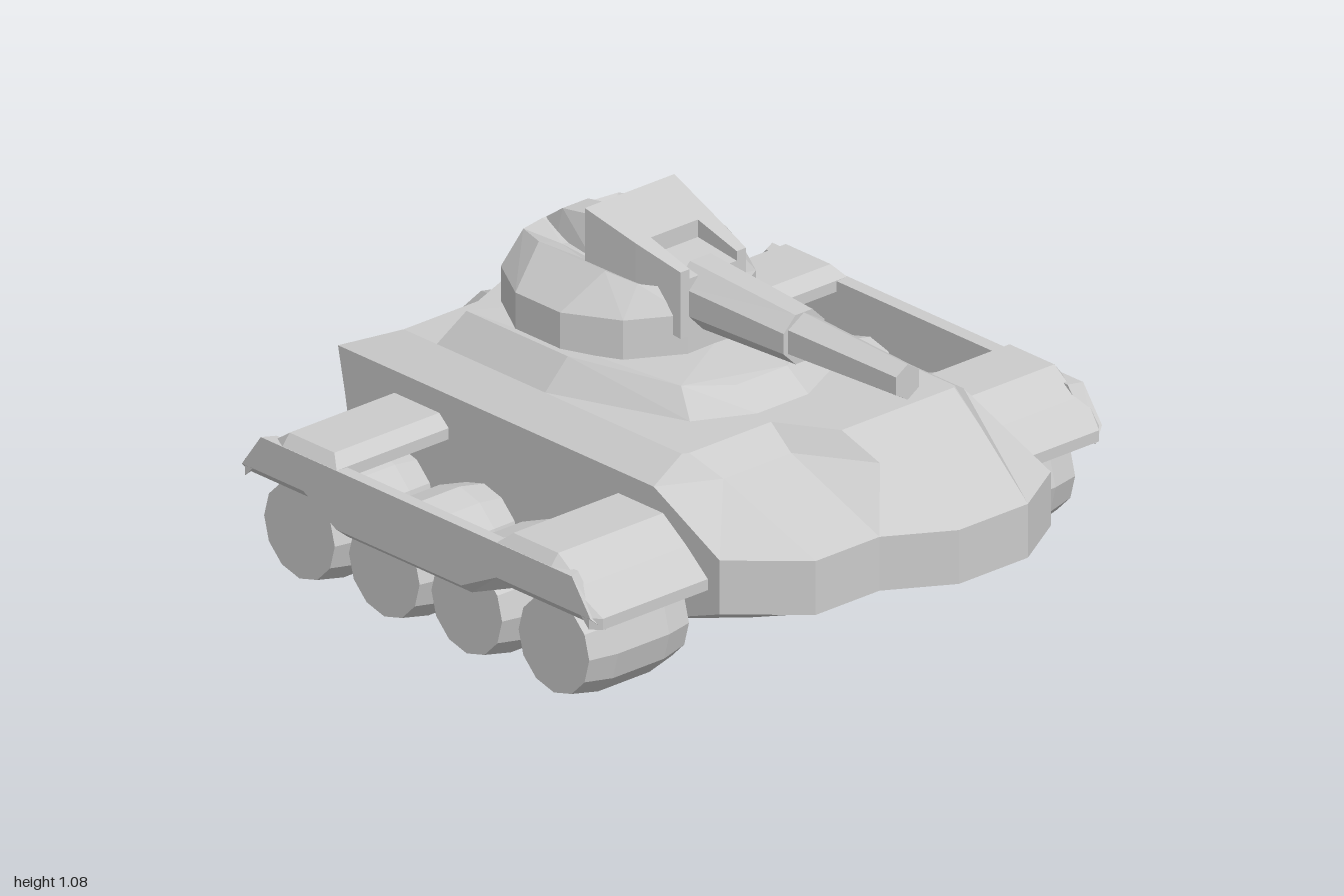
import * as THREE from 'three';

const material = new THREE.MeshStandardMaterial({ color: 0xcccccc, flatShading: true });

// Projects a ring onto the plane it mostly lies in
function flatten(ring) {
  const n = new THREE.Vector3();
  ring.forEach((p, i) => {
    const q = ring[(i + 1) % ring.length];
    n.x += (p[1] - q[1]) * (p[2] + q[2]);
    n.y += (p[2] - q[2]) * (p[0] + q[0]);
    n.z += (p[0] - q[0]) * (p[1] + q[1]);
  });
  const a = n.toArray().map(Math.abs);
  const drop = a.indexOf(Math.max(...a));
  const [u, v] = [0, 1, 2].filter((k) => k !== drop);
  return ring.map((p) => new THREE.Vector2(p[u], p[v]));
}

// Closed faceted solid through matching rings of [x, y, z] points
function loft(rings) {
  const n = rings[0].length;
  const tris = [];
  const cap = (ring, flip) => {
    for (const t of THREE.ShapeUtils.triangulateShape(flatten(ring), [])) {
      const s = [...t].sort((a, b) => a - b).map((i) => ring[i]);
      tris.push(flip ? s.reverse() : s);
    }
  };
  cap(rings[0], true);
  for (let i = 0; i + 1 < rings.length; i++) {
    const a = rings[i], b = rings[i + 1];
    for (let j = 0; j < n; j++) {
      const k = (j + 1) % n;
      tris.push([a[j], a[k], b[k]], [a[j], b[k], b[j]]);
    }
  }
  cap(rings[n ? rings.length - 1 : 0], false);
  // Turn the solid outward if its signed volume is negative
  let volume = 0;
  for (const [p, q, r] of tris) {
    volume += new THREE.Vector3(...p).dot(new THREE.Vector3(...q).cross(new THREE.Vector3(...r)));
  }
  if (volume < 0) tris.forEach((t) => t.reverse());
  const geo = new THREE.BufferGeometry();
  geo.setAttribute('position', new THREE.Float32BufferAttribute(tris.flat(2), 3));
  geo.computeVertexNormals();
  return geo;
}

// Half ring on +x completed by its mirror image
const symmetric = (half) => [...half, ...half.map(([x, y, z]) => [-x, y, z]).reverse()];
// Side profile of [z, y] points placed at one x
const atX = (x, profile) => profile.map(([z, y]) => [x, y, z]);
// Regular ring around the gun axis
const ringZ = (n, z, y, rx, ry, turn = 0) => Array.from({ length: n }, (_, i) => {
  const a = ((i + turn) / n) * Math.PI * 2;
  return [Math.sin(a) * rx, y + Math.cos(a) * ry, z];
});

export function createModel() {
  const model = new THREE.Group();
  const add = (name, geo, parent = model) => {
    const mesh = new THREE.Mesh(geo, material);
    mesh.name = name;
    parent.add(mesh);
    return mesh;
  };

  // Hull: stacked outlines with an offset nose and a notched tail
  const tail = (y1, z1, y2, z2, x1, x2) => [
    [x1, y1, z1], [x2, y2, z2], [0.1, y2, z2], [0, y1, z1],
    [-0.1, y2, z2], [-x2, y2, z2], [-x1, y1, z1]];
  const nose = (y) => [[-0.56, y, 0.67], [-0.36, y, 0.86], [-0.11, y, 0.86],
    [0.09, y, 0.98], [0.36, y, 0.98], [0.56, y, 0.86]];
  add('hull', loft([
    [...nose(0.24), ...tail(0.24, -0.89, 0.28, -0.96, 0.56, 0.46)],
    [...nose(0.41), ...tail(0.41, -0.92, 0.45, -0.985, 0.56, 0.46)],
    [[-0.56, 0.55, 0.39], [-0.375, 0.55, 0.485], [-0.11, 0.55, 0.485],
      [0.03, 0.55, 0.71], [0.42, 0.55, 0.71], [0.56, 0.55, 0.49],
      ...tail(0.55, -0.95, 0.47, -0.99, 0.56, 0.46)],
    [[-0.45, 0.62, 0.39], [-0.43, 0.62, 0.4], [-0.11, 0.62, 0.4],
      [0.0, 0.62, 0.58], [0.44, 0.62, 0.58], [0.45, 0.62, 0.57],
      ...tail(0.62, -0.79, 0.62, -0.79, 0.45, 0.42)],
  ]));

  for (const s of [1, -1]) {
    const side = new THREE.Group();
    side.name = s > 0 ? 'leftRunningGear' : 'rightRunningGear';
    model.add(side);

    // Belly rail, skewed to follow the nose
    const rail = (x, z) => atX(s * x, [[z, 0.24], [z - 0.29, 0.13], [-0.6, 0.13], [-0.89, 0.24]]);
    add('bellyRail', loft([rail(0.34, s > 0 ? 0.98 : 0.86), rail(0.56, s > 0 ? 0.86 : 0.67)]), side);

    // Barrel-shaped wheels
    for (const z of [0.39, 0.02, -0.33, -0.69]) {
      const profile = [[0, -0.195], [0.15, -0.195], [0.17, -0.1], [0.17, 0.1], [0.15, 0.195], [0, 0.195]];
      const geo = new THREE.LatheGeometry(profile.map((p) => new THREE.Vector2(...p)), 12);
      geo.rotateZ(Math.PI / 2);
      add('wheel', geo, side).position.set(s * 0.755, 0.17, z);
    }

    // Front and rear fenders
    const fender = [[0.62, 0.3], [0.62, 0.335], [0.53, 0.41], [0.43, 0.48], [0.24, 0.48],
      [0.2, 0.445], [0.2, 0.41], [0.41, 0.43], [0.54, 0.35]];
    const edge = fender.map(([z, y]) => [Math.min(z, 0.59), Math.min(y, 0.445)]);
    for (const front of [true, false]) {
      const place = (x, pts) => atX(s * x, pts.map(([z, y]) => [front ? z : -0.28 - z, y]));
      add(front ? 'frontFender' : 'rearFender',
        loft([place(0.55, fender), place(0.97, fender), place(0.998, edge)]), side);
    }

    // Skirt joining the fenders, with its lower lip tucked inward
    add('skirt', loft([
      atX(s * 0.957, [[0.62, 0.295], [0.5, 0.443], [-0.78, 0.443], [-0.9, 0.295],
        [-0.64, 0.295], [-0.48, 0.225], [0.05, 0.225], [0.22, 0.295]]),
      atX(s * 1.0, [[0.6, 0.335], [0.52, 0.445], [-0.8, 0.445], [-0.88, 0.335],
        [-0.62, 0.335], [-0.48, 0.26], [0.05, 0.26], [0.2, 0.335]]),
    ]), side);
  }

  // Turret plinth
  add('turretPlinth', loft([
    symmetric([[0.12, 0.62, -0.79], [0.45, 0.62, -0.65], [0.45, 0.62, -0.19],
      [0.28, 0.62, 0.24], [0.1, 0.62, 0.33]]),
    symmetric([[0.1, 0.72, -0.71], [0.38, 0.72, -0.6], [0.38, 0.72, -0.17],
      [0.25, 0.7, 0.17], [0.1, 0.68, 0.24]]),
  ]));

  // Twelve-sided turret with a sunken channel on each side of the ridge
  const wall = (y) => symmetric(Array.from({ length: 6 }, (_, i) => {
    const a = ((15 + 30 * i) * Math.PI) / 180;
    return [Math.sin(a) * 0.367, y, -0.325 - Math.cos(a) * 0.367];
  }));
  add('turret', loft([
    wall(0.7), wall(0.83),
    symmetric([[0.065, 0.91, -0.62], [0.185, 0.93, -0.57], [0.235, 0.945, -0.45],
      [0.235, 0.945, -0.17], [0.19, 0.92, -0.08], [0.065, 0.89, 0]]),
    symmetric([[0.06, 0.905, -0.61], [0.1, 0.88, -0.5], [0.11, 0.87, -0.4],
      [0.11, 0.87, -0.2], [0.1, 0.87, -0.1], [0.06, 0.87, -0.01]]),
  ]));

  // Central ridge running back from the gun housing
  const ridge = (z, top, base, w) => symmetric([[w, base, z], [0.05, top, z]]);
  add('turretRidge', loft([ridge(-0.62, 0.91, 0.86, 0.065),
    ridge(-0.55, 0.96, 0.85, 0.08), ridge(-0.3, 1.0, 0.84, 0.12)]));

  // Wedge-shaped gun housing with a slot open to the front
  const block = (z, w, top, base) => symmetric([[w, base, z], [w, top, z]]);
  const slotted = (z, w, top, base, floor) => symmetric(
    [[w, base, z], [w, top, z], [0.092, top, z], [0.092, floor, z]]);
  add('gunHousing', loft([block(-0.32, 0.175, 1.075, 0.83), block(-0.13, 0.152, 1.02, 0.8)]));
  add('gunHousingFront', loft([slotted(-0.13, 0.152, 1.02, 0.8, 0.965),
    slotted(0.035, 0.128, 0.975, 0.765, 0.945)]));

  // Gun: eight-sided sleeve and six-sided barrel
  add('gunSleeve', loft([ringZ(8, -0.02, 0.867, 0.105, 0.108, 0.5), ringZ(8, 0.42, 0.862, 0.086, 0.084, 0.5)]));
  add('gunBarrel', loft([ringZ(6, 0.4, 0.863, 0.072, 0.076), ringZ(6, 0.86, 0.865, 0.052, 0.056)]));

  return model;
}
